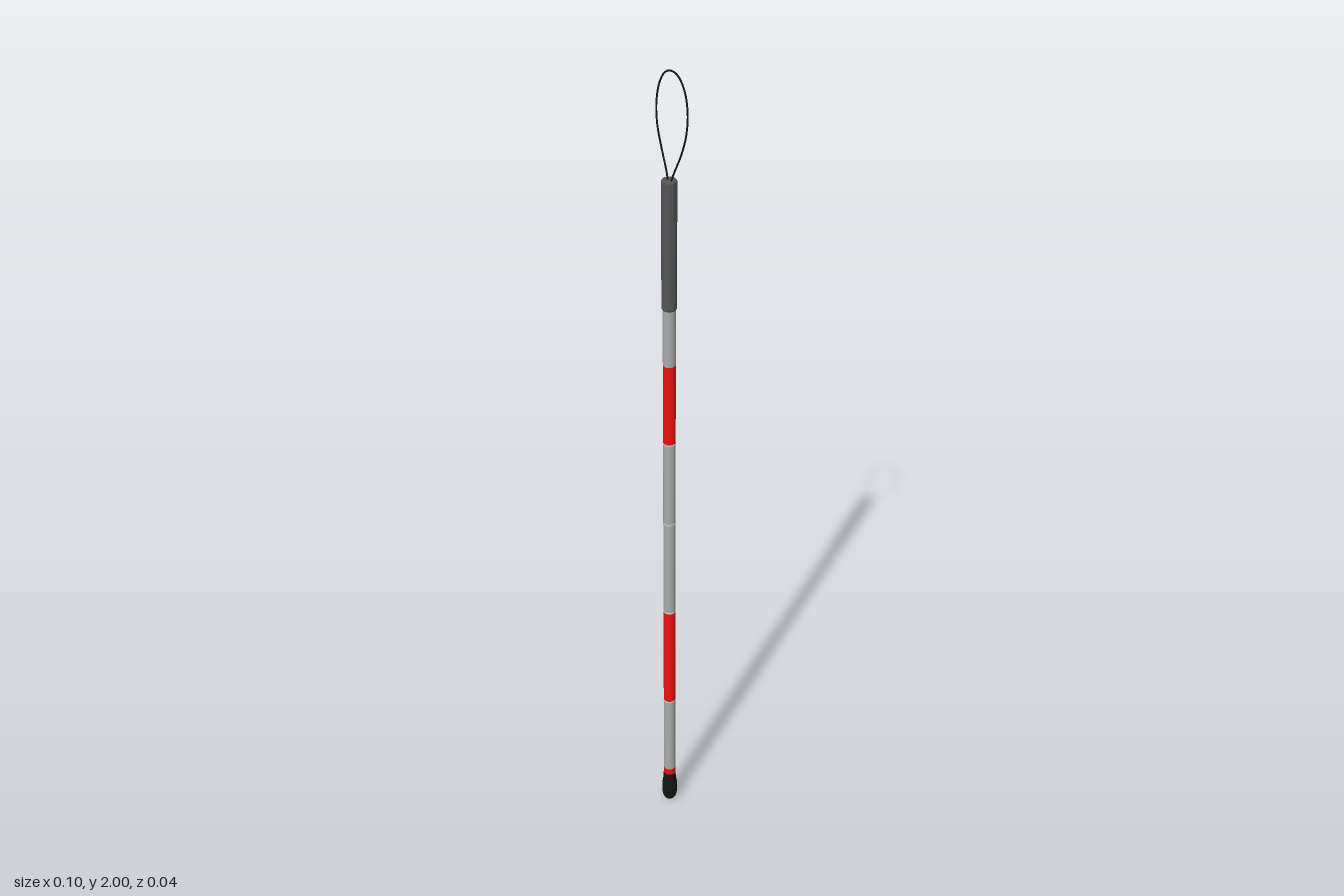
import * as THREE from 'three';

const AXIS_X = -0.01; // the shaft stands slightly beside the middle of the strap

const material = (color) => new THREE.MeshStandardMaterial({ color });

function addMesh(group, name, geometry, mat, x = AXIS_X) {
  const mesh = new THREE.Mesh(geometry, mat);
  mesh.name = name;
  mesh.position.x = x;
  group.add(mesh);
  return mesh;
}

const lathe = (points, sides = 32) =>
  new THREE.LatheGeometry(points.map(([r, y]) => new THREE.Vector2(r, y)), sides);

export function createModel() {
  const group = new THREE.Group();
  group.name = 'foldingCane';

  const grey = material(0xaaaaaa);
  const red = material(0xee1111);
  const gripGrey = material(0x555555);
  const black = material(0x151515);

  // Shaft sections, from the tip up: name, bottom, top, material
  const sections = [
    ['tipBand', 0.07, 0.108, red],
    ['lowerShaft', 0.108, 0.331, grey],
    ['lowerRedBand', 0.331, 0.61, red],
    ['middleShaft', 0.61, 0.871, grey],
    ['upperMiddleShaft', 0.871, 1.093, grey],
    ['upperRedBand', 1.093, 1.3, red],
    ['upperShaft', 1.3, 1.45, grey],
  ];
  for (const [name, y0, y1, mat] of sections) {
    const tube = addMesh(group, name, new THREE.CylinderGeometry(0.0145, 0.0145, y1 - y0, 32), mat);
    tube.position.y = (y0 + y1) / 2;
  }

  // Thin joint rings where the sections fold apart
  for (const y of [0.331, 0.61, 0.871, 1.093]) {
    const ring = addMesh(group, 'jointRing', new THREE.CylinderGeometry(0.0149, 0.0149, 0.004, 32), material(0xcccccc));
    ring.position.y = y;
  }

  // Handle grip with slightly rounded ends
  addMesh(group, 'grip', lathe([
    [0, 1.442], [0.0155, 1.442], [0.0155, 1.442], [0.0172, 1.445], [0.0172, 1.445],
    [0.0172, 1.749], [0.0172, 1.749], [0.0155, 1.752], [0.0155, 1.752], [0, 1.752],
  ]), gripGrey);

  // Rounded tip, swelling below its collar
  addMesh(group, 'tip', lathe([
    [0, 0], [0.007, 0.001], [0.013, 0.006], [0.017, 0.014], [0.019, 0.026], [0.019, 0.04],
    [0.0185, 0.055], [0.0165, 0.068], [0.0155, 0.076], [0.0155, 0.086], [0.0145, 0.09], [0, 0.09],
  ]), black);

  // Wrist loop of thin cord, both ends sunk in the grip
  const loop = new THREE.CatmullRomCurve3([
    [-0.012, 1.74], [-0.016, 1.765], [-0.035, 1.825], [-0.046, 1.868], [-0.048, 1.915], [-0.038, 1.962],
    [-0.02, 1.99], [0, 1.998], [0.021, 1.991], [0.039, 1.965], [0.048, 1.92], [0.044, 1.872],
    [0.03, 1.825], [0.003, 1.765], [-0.006, 1.74],
  ].map(([x, y]) => new THREE.Vector3(x, y, 0.001)));
  addMesh(group, 'wristLoop', new THREE.TubeGeometry(loop, 96, 0.002, 8), black, 0);

  return group;
}
